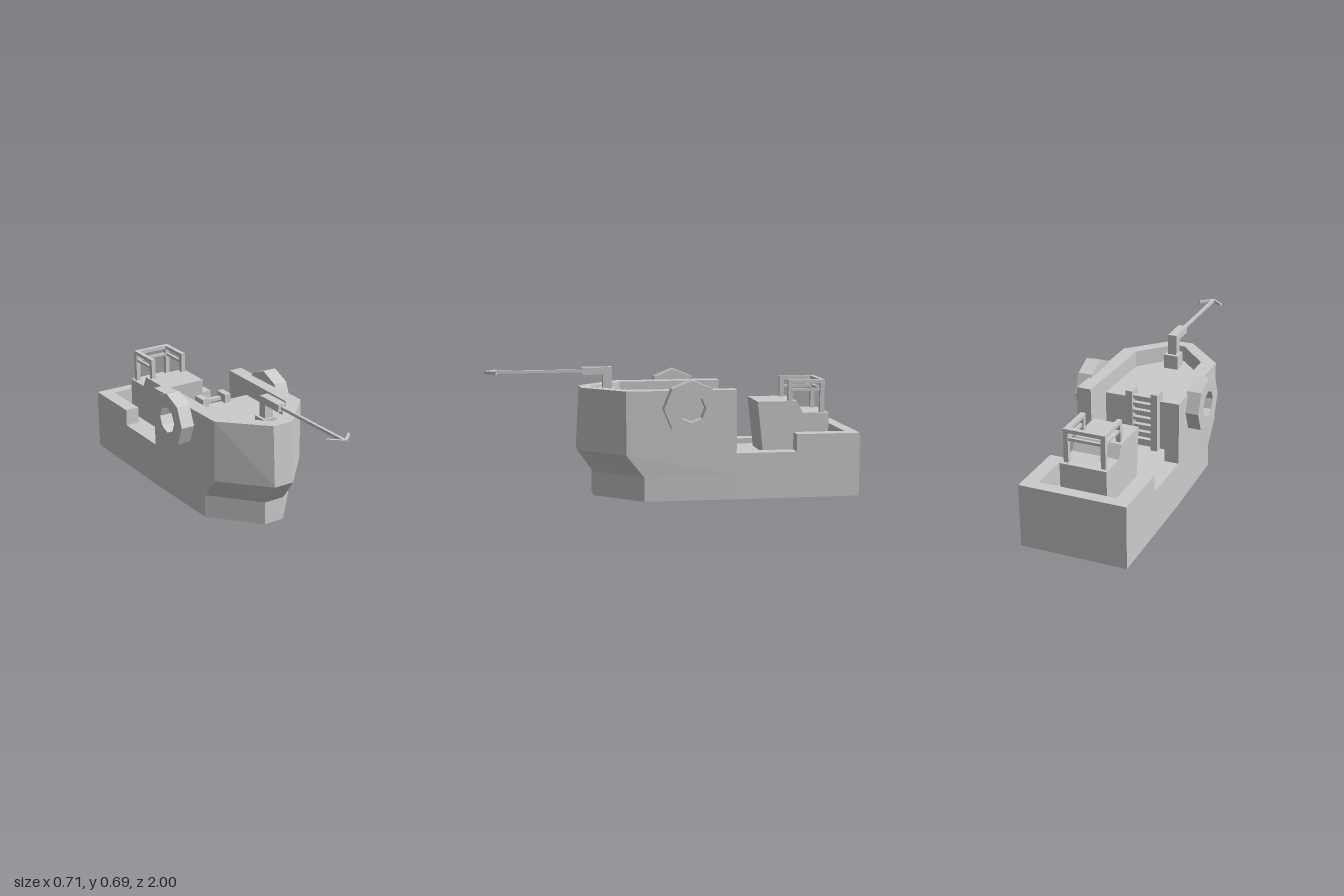
import * as THREE from 'three';

const grey = new THREE.MeshStandardMaterial({ color: 0xcccccc, flatShading: true });
const CX = 0.004; // centreline of the hull

function add(parent, geometry, name) {
  const mesh = new THREE.Mesh(geometry, grey);
  mesh.name = name;
  parent.add(mesh);
  return mesh;
}

// Box given by its extents
function box(parent, name, x0, x1, y0, y1, z0, z1) {
  const mesh = add(parent, new THREE.BoxGeometry(x1 - x0, y1 - y0, z1 - z0), name);
  mesh.position.set((x0 + x1) / 2, (y0 + y1) / 2, (z0 + z1) / 2);
  return mesh;
}

// Skin over stacked rings of [x, z] points, each { y, p }, closed by flat caps
function loft(rings, capBottom = false) {
  const out = [];
  const put = (y, [x, z]) => out.push(x, y, z);
  for (let r = 0; r + 1 < rings.length; r++) {
    const a = rings[r], b = rings[r + 1], n = a.p.length;
    for (let i = 0; i < n; i++) {
      const j = (i + 1) % n;
      put(a.y, a.p[i]); put(b.y, b.p[i]); put(b.y, b.p[j]);
      put(a.y, a.p[i]); put(b.y, b.p[j]); put(a.y, a.p[j]);
    }
  }
  const cap = ({ y, p }, up) => {
    const tris = THREE.ShapeUtils.triangulateShape(p.map(([x, z]) => new THREE.Vector2(x, z)), []);
    for (const [i, j, k] of tris) {
      const [a, b, c] = [p[i], p[j], p[k]];
      const ny = (b[1] - a[1]) * (c[0] - a[0]) - (b[0] - a[0]) * (c[1] - a[1]);
      for (const q of (ny > 0) === up ? [a, b, c] : [a, c, b]) put(y, q);
    }
  };
  cap(rings[rings.length - 1], true);
  if (capBottom) cap(rings[0], false);
  const g = new THREE.BufferGeometry();
  g.setAttribute('position', new THREE.Float32BufferAttribute(out, 3));
  g.computeVertexNormals();
  return g;
}

// Mirror the +x half of a plan to close it
const mirror = half => [...half, ...half.map(([x, z]) => [-x, z]).reverse()];

const outerBow = (corner, bow) => [[0.29, -0.32], [0.277, corner], [0.059, bow]];
const outer = (corner, bow) => mirror([[0.29, -1], ...outerBow(corner, bow)]);
const innerBow = [[0.21, -0.32], [0.196, 0.25], [0.03, 0.43]];
const inner = mirror([[0.21, -0.935], ...innerBow]);

function buildHull() {
  const hull = new THREE.Group();
  hull.name = 'hull';
  hull.position.x = CX;
  // Lower hull with its undercut bow, rim and sunken main deck
  add(hull, loft([
    { y: 0, p: outer(0.175, 0.425) },
    { y: 0.13, p: outer(0.175, 0.425) },
    { y: 0.25, p: outer(0.27, 0.51) },
    { y: 0.25, p: inner },
    { y: 0.22, p: inner },
  ], true), 'lowerHull');
  // High bulwark around the bow
  const innerBack = mirror(innerBow).reverse();
  const bowPlan = bow => [...mirror(outerBow(0.27, bow)), ...innerBack];
  add(hull, loft([{ y: 0.25, p: bowPlan(0.51) }, { y: 0.59, p: bowPlan(0.49) }]), 'bowBulwark');
  // Low bulwark around the stern
  const sternPlan = [
    [-0.29, -0.65], [-0.29, -1], [0.29, -1], [0.29, -0.65],
    [0.21, -0.65], [0.21, -0.935], [-0.21, -0.935], [-0.21, -0.65],
  ];
  add(hull, loft([{ y: 0.25, p: sternPlan }, { y: 0.345, p: sternPlan }]), 'sternBulwark');
  // Raised foredeck
  const deck = mirror([[0.206, -0.14], ...innerBow.slice(1)]);
  add(hull, loft([{ y: 0.22, p: deck }, { y: 0.5, p: deck }]), 'foredeck');
  return hull;
}

function buildCabin() {
  const cabin = new THREE.Group();
  cabin.name = 'cabin';
  cabin.position.x = CX - 0.002;
  // Side profile as (-z, y), extruded across the beam
  const profile = [[0.503, 0.22], [0.87, 0.22], [0.87, 0.437], [0.725, 0.437], [0.69, 0.503], [0.47, 0.503]];
  const body = new THREE.ExtrudeGeometry(
    new THREE.Shape(profile.map(p => new THREE.Vector2(...p))), { depth: 0.254, bevelEnabled: false });
  add(cabin, body.rotateY(Math.PI / 2).translate(-0.127, 0, 0), 'cabinBody');

  // U-shaped railing, open to the front
  const t = 0.025, w = 0.113;
  for (const s of [-1, 1]) {
    const x0 = s > 0 ? w - t : -w, x1 = x0 + t;
    box(cabin, 'frontRailPost', x0, x1, 0.5, 0.6, -0.67, -0.645);
    box(cabin, 'rearRailPost', x0, x1, 0.435, 0.6, -0.85, -0.825);
    box(cabin, 'sideTopRail', x0, x1, 0.598, 0.618, -0.85, -0.645);
    box(cabin, 'sideMidRail', x0 + 0.005, x1 - 0.005, 0.555, 0.57, -0.83, -0.66);
  }
  box(cabin, 'rearTopRail', t - w, w - t, 0.598, 0.618, -0.85, -0.825);
  box(cabin, 'rearMidRail', t - w, w - t, 0.555, 0.57, -0.845, -0.83);
  return cabin;
}

function buildLadder() {
  const ladder = new THREE.Group();
  ladder.name = 'ladder';
  ladder.position.x = -0.016;
  for (const s of [-1, 1]) {
    const x = s * 0.072;
    box(ladder, 'ladderPost', x - 0.019, x + 0.019, 0.22, 0.55, -0.18, -0.14);
    box(ladder, 'ladderHook', x - 0.019, x + 0.019, 0.5, 0.55, -0.14, -0.1);
  }
  for (let i = 0; i < 7; i++) {
    const y = 0.255 + i * 0.042;
    box(ladder, 'rung', -0.055, 0.055, y, y + 0.018, -0.168, -0.141);
  }
  return ladder;
}

function buildHarpoon() {
  const gun = new THREE.Group();
  gun.name = 'harpoonGun';
  gun.position.x = CX + 0.001;
  box(gun, 'gunBase', -0.04, 0.04, 0.5, 0.58, 0.295, 0.375);
  box(gun, 'gunNeck', -0.025, 0.025, 0.58, 0.655, 0.315, 0.365);
  box(gun, 'gunBarrel', -0.025, 0.025, 0.655, 0.695, 0.315, 0.48);
  box(gun, 'harpoonShaft', -0.008, 0.008, 0.667, 0.682, 0.48, 0.99);
  // Swept-back barbs meeting at the tip
  for (const s of [-1, 1]) {
    const barb = box(gun, 'harpoonBarb', -0.006, 0.006, 0.667, 0.682, 0, 0.092);
    barb.position.x = s * 0.034;
    barb.position.z = 0.966;
    barb.rotation.y = -s * 0.86;
  }
  return gun;
}

// Octagonal fender ring on each side
function buildFenders() {
  const group = new THREE.Group();
  group.name = 'fenders';
  const octagon = r => Array.from({ length: 8 }, (_, i) =>
    new THREE.Vector2(r * Math.cos(i * Math.PI / 4), r * Math.sin(i * Math.PI / 4)));
  const shape = new THREE.Shape(octagon(0.15));
  shape.holes.push(new THREE.Path(octagon(0.073)));
  const ring = new THREE.ExtrudeGeometry(shape, { depth: 0.08, bevelEnabled: false })
    .rotateY(Math.PI / 2).translate(-0.04, 0, 0);
  for (const s of [-1, 1]) add(group, ring, 'fender').position.set(s * 0.314, 0.5, -0.07);
  return group;
}

export function createModel() {
  const boat = new THREE.Group();
  boat.name = 'boat';
  boat.add(buildHull(), buildCabin(), buildLadder(), buildHarpoon(), buildFenders());
  return boat;
}
